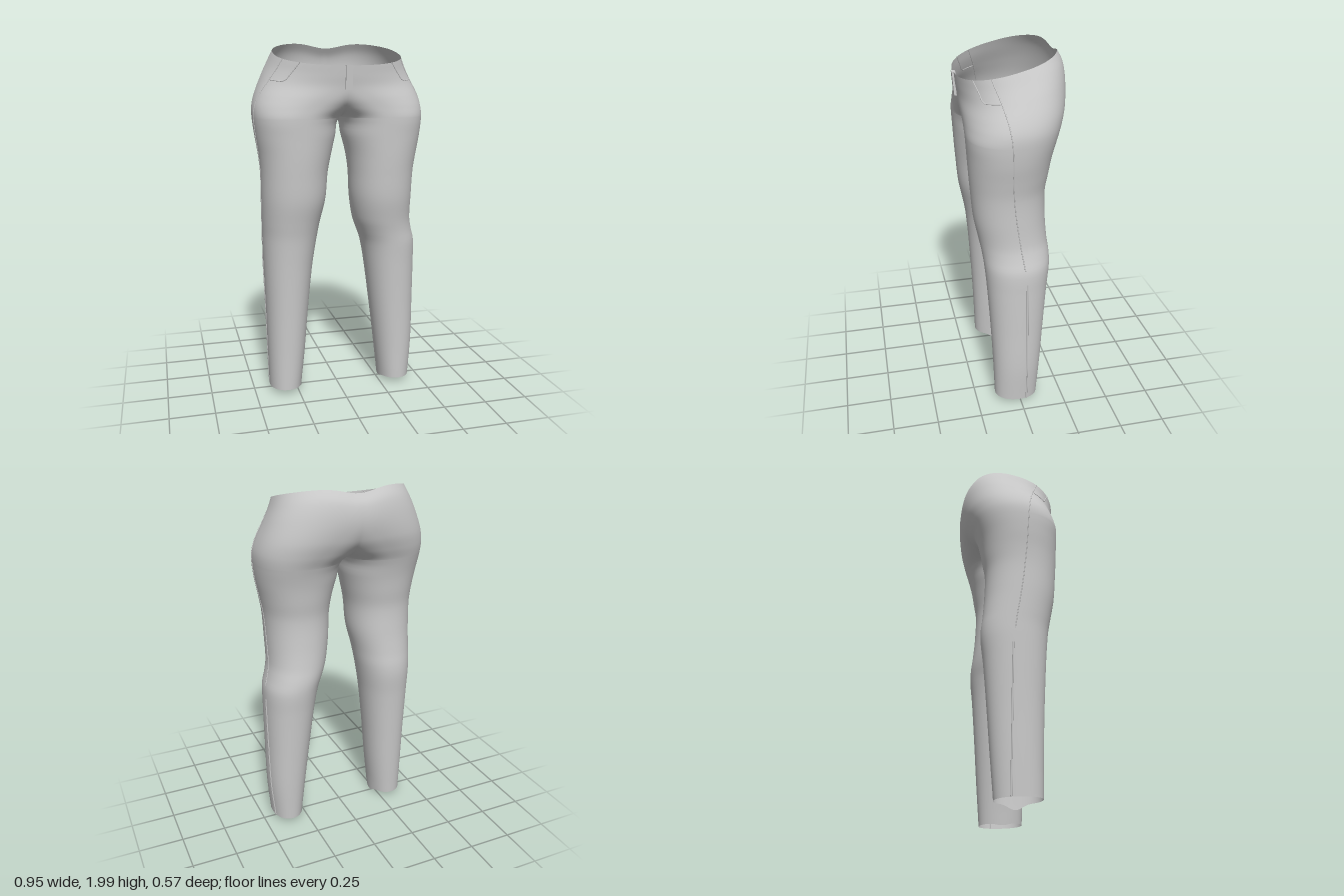
import * as THREE from 'three';
import { mergeVertices } from 'three/addons/utils/BufferGeometryUtils.js';

// Section profile: height, right outer/inner, left outer/inner (distance from centre), front z, back z.
// A negative inner value lets both halves merge at the centre plane.
const ROWS = [
  [0.03, 0.41, 0.225, 0.44, 0.26, 0.14, -0.105],
  [0.25, 0.415, 0.2, 0.457, 0.235, 0.147, -0.122],
  [0.5, 0.42, 0.178, 0.46, 0.205, 0.158, -0.14],
  [0.75, 0.428, 0.152, 0.461, 0.172, 0.173, -0.16],
  [0.88, 0.432, 0.132, 0.459, 0.148, 0.184, -0.174],
  [0.95, 0.433, 0.12, 0.441, 0.122, 0.192, -0.174],
  [1.02, 0.435, 0.108, 0.427, 0.097, 0.205, -0.166],
  [1.15, 0.438, 0.08, 0.425, 0.074, 0.23, -0.156],
  [1.3, 0.441, 0.068, 0.43, 0.064, 0.243, -0.153],
  [1.4, 0.45, 0.048, 0.446, 0.05, 0.25, -0.168],
  [1.5, 0.465, 0.025, 0.465, 0.025, 0.255, -0.185],
  [1.6, 0.476, 0, 0.476, 0, 0.26, -0.212],
  [1.66, 0.474, -0.1, 0.474, -0.1, 0.26, -0.24],
  [1.72, 0.456, -0.22, 0.456, -0.22, 0.262, -0.267],
  [1.8, 0.418, -0.36, 0.418, -0.36, 0.265, -0.285],
  [1.87, 0.382, -0.38, 0.382, -0.38, 0.272, -0.278],
  [1.93, 0.355, -0.355, 0.355, -0.355, 0.277, -0.25],
];
const TOP = 1.93, CROTCH = 1.6;

// Smooth interpolation of one profile column
function profile(y, k) {
  const last = ROWS.length - 1;
  let i = 0;
  while (i < last - 1 && y > ROWS[i + 1][0]) i++;
  const slope = (n) => {
    const a = ROWS[Math.max(n - 1, 0)], b = ROWS[Math.min(n + 1, last)];
    return (b[k] - a[k]) / (b[0] - a[0]);
  };
  const h = ROWS[i + 1][0] - ROWS[i][0], u = (y - ROWS[i][0]) / h;
  const u2 = u * u, u3 = u2 * u;
  return ROWS[i][k] * (2 * u3 - 3 * u2 + 1) + ROWS[i + 1][k] * (3 * u2 - 2 * u3)
    + h * (slope(i) * (u3 - 2 * u2 + u) + slope(i + 1) * (u3 - u2));
}

const spow = (v, e) => Math.sign(v) * Math.pow(Math.abs(v), e);

function section(side, y) {
  const k = side < 0 ? 1 : 3;
  const o = profile(y, k), n = profile(y, k + 1), f = profile(y, 5), b = profile(y, 6);
  return {
    cx: (o + n) / 2, rx: (o - n) / 2, cz: (f + b) / 2, rz: (f - b) / 2,
    e: 0.94 - 0.08 * THREE.MathUtils.smoothstep(y, 1.3, 1.75),
  };
}

// Point on the cloth at angle t (0 = outer side, positive toward the front)
function surfacePoint(side, y, t) {
  const s = section(side, y);
  const x = side * Math.max(0, s.cx + s.rx * spow(Math.cos(t), s.e));
  const z = s.cz + s.rz * spow(Math.sin(t), s.e);
  // Sloping waist with a dip at the back centre
  const w = THREE.MathUtils.smoothstep(y, 1.6, TOP);
  const dip = z < 0 ? 0.035 * Math.exp(-((x / 0.12) ** 2)) : 0;
  let py = y + w * (0.015 - 0.25 * z - dip);
  // Slightly uneven hem, lowest at the inner ankle
  const h = 1 - THREE.MathUtils.smoothstep(y, 0.03, 0.1);
  py += h * (0.04 * z - (side < 0 ? 0.027 : 0.012) * Math.exp(-(((Math.abs(t) - Math.PI) / 0.35) ** 2)));
  return new THREE.Vector3(x, py, z);
}

function clothGeometry() {
  const ys = [];
  for (let i = 0; i < 72; i++) ys.push(0.03 + (CROTCH - 0.03) * i / 72);
  for (let i = 0; i <= 40; i++) ys.push(CROTCH + (TOP - CROTCH) * Math.pow(i / 40, 1.5));
  const cols = 72, pos = [], index = [];
  for (const side of [-1, 1]) {
    const base = pos.length / 3;
    for (const y of ys) {
      // Above the crotch each loop opens where it meets the centre plane
      const s = section(side, y);
      const ratio = y <= CROTCH ? 1 : THREE.MathUtils.clamp(s.cx / s.rx, 0, 1);
      const limit = Math.acos(-Math.pow(ratio, 1 / s.e));
      for (let j = 0; j <= cols; j++) {
        const p = surfacePoint(side, y, limit * (2 * j / cols - 1));
        if (y > CROTCH && (j === 0 || j === cols)) p.x = 0;
        pos.push(p.x, p.y, p.z);
      }
    }
    for (let i = 0; i < ys.length - 1; i++) {
      for (let j = 0; j < cols; j++) {
        const a = base + i * (cols + 1) + j, b = a + cols + 1;
        if (side > 0) index.push(a, b, a + 1, b, b + 1, a + 1);
        else index.push(a, a + 1, b, b, a + 1, b + 1);
      }
    }
  }
  const g = new THREE.BufferGeometry();
  g.setAttribute('position', new THREE.Float32BufferAttribute(pos, 3));
  g.setIndex(index);
  const merged = mergeVertices(g, 1e-4);
  merged.computeVertexNormals();
  return merged;
}

export function createModel() {
  const group = new THREE.Group();
  const mat = new THREE.MeshStandardMaterial({ color: 0xcccccc, side: THREE.DoubleSide });
  const add = (name, geo) => {
    const m = new THREE.Mesh(geo, mat);
    m.name = name;
    group.add(m);
    return m;
  };
  const stitch = (name, pts, r) =>
    add(name, new THREE.TubeGeometry(new THREE.CatmullRomCurve3(pts, false, 'centripetal'), 80, r, 6));

  add('trousers', clothGeometry());

  // Angle for a given z on the outer side, or a given x on the front
  const byZ = (side, y, z) => {
    const s = section(side, y);
    return surfacePoint(side, y, Math.asin(spow(THREE.MathUtils.clamp((z - s.cz) / s.rz, -1, 1), 1 / s.e)));
  };
  const byX = (side, y, x) => {
    const s = section(side, y);
    return surfacePoint(side, y, Math.acos(spow(THREE.MathUtils.clamp((x - s.cx) / s.rx, -1, 1), 1 / s.e)));
  };

  const seamPath = new THREE.CatmullRomCurve3([[0.14, TOP], [0.1, 1.8], [0.07, 1.65], [0.055, 1.4],
    [0.035, 1.2], [0.005, 1.0], [-0.01, 0.9]].map(([z, y]) => new THREE.Vector3(0, y, z)));
  for (const side of [-1, 1]) {
    const label = side < 0 ? 'right' : 'left';
    // Side seam from waist to knee
    stitch(label + 'SideSeam', seamPath.getPoints(40).map((p) => byZ(side, Math.min(p.y, TOP), p.z)), 0.003);
    // Raised fold down the lower leg
    const fold = [];
    for (let i = 0; i <= 20; i++) fold.push(byZ(side, 0.82 - 0.79 * i / 20, -0.02 - 0.01 * i / 20));
    stitch(label + 'LowerLegFold', fold, 0.005);
    // Slanted front pocket outline
    const corners = [[0.25, 1.93], [0.315, 1.83], [0.335, 1.815], [0.395, 1.81]];
    const pts = [];
    for (let c = 0; c < 3; c++) {
      for (let i = 0; i < 8; i++) {
        const u = i / 8, [x0, y0] = corners[c], [x1, y1] = corners[c + 1];
        pts.push(byX(side, y0 + (y1 - y0) * u, x0 + (x1 - x0) * u));
      }
    }
    stitch(label + 'PocketSeam', pts, 0.003);
  }

  // Fly tab at the front centre
  const fly = add('flyTab', new THREE.BoxGeometry(0.036, 0.125, 0.02));
  fly.position.set(0, 1.815, 0.272);
  fly.rotation.x = 0.08;
  return group;
}
